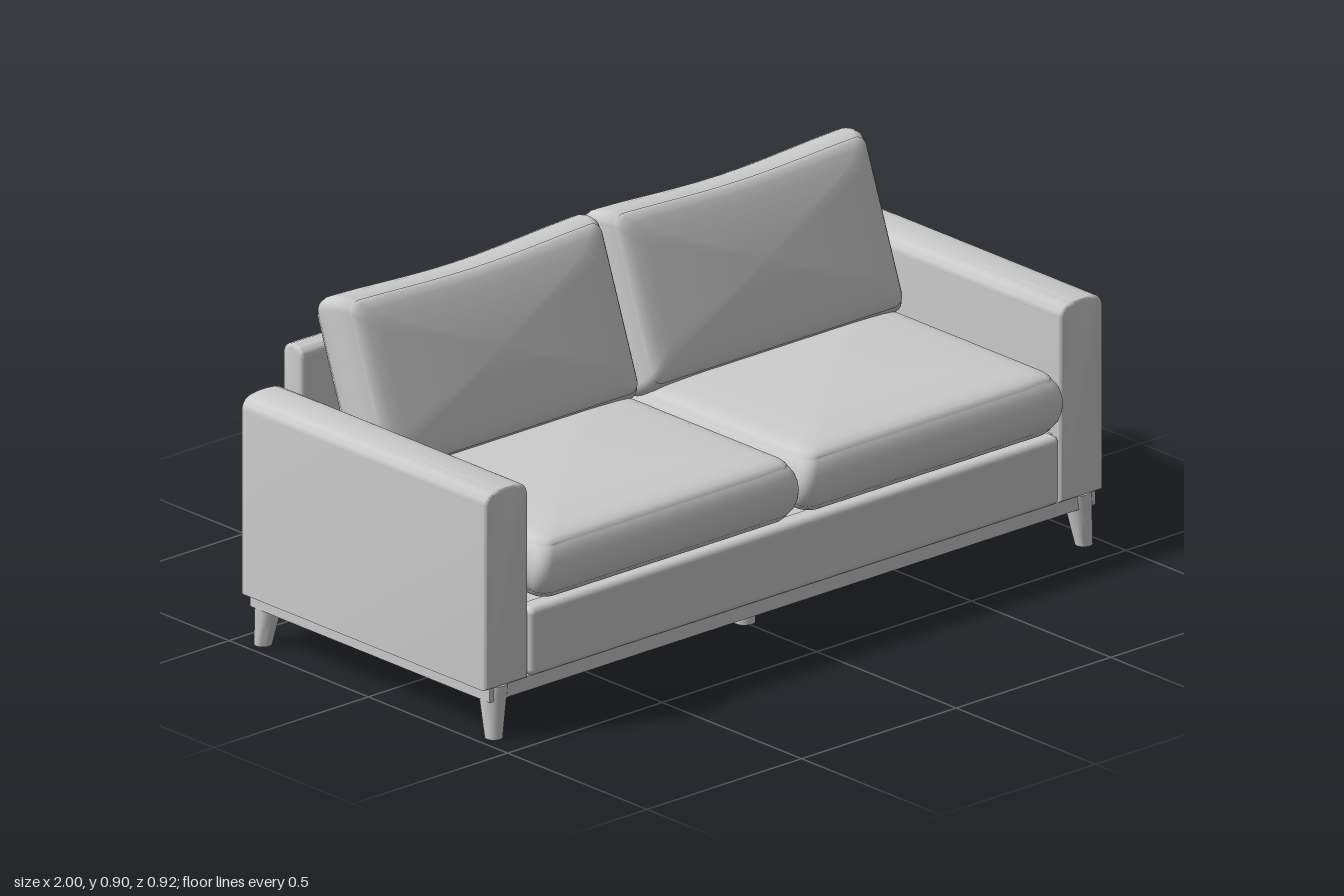
import * as THREE from 'three';
import { toCreasedNormals } from 'three/addons/utils/BufferGeometryUtils.js';
import { RoundedBoxGeometry } from 'three/addons/geometries/RoundedBoxGeometry.js';

const fabric = new THREE.MeshStandardMaterial({ color: 0xcccccc });
fabric.name = 'light grey';

function add(parent, name, geometry, x = 0, y = 0, z = 0) {
  const mesh = new THREE.Mesh(geometry, fabric);
  mesh.name = name;
  mesh.position.set(x, y, z);
  parent.add(mesh);
  return mesh;
}

// Upright slab with a rounded top, extruded along z, with softened ends
function roundTopSlab(width, height, length, r) {
  const b = 0.01, w = width / 2 - b, h = height - b;
  const s = new THREE.Shape();
  s.moveTo(-w, b);
  s.lineTo(w, b);
  s.lineTo(w, h - r);
  s.bezierCurveTo(w, h - r * 0.4, w - r * 0.4, h - 0.004, w - r, h - 0.002);
  s.quadraticCurveTo(0, h + 0.002, r - w, h - 0.002);
  s.bezierCurveTo(r * 0.4 - w, h - 0.004, -w, h - r * 0.4, -w, h - r);
  s.closePath();
  const g = new THREE.ExtrudeGeometry(s, {
    depth: length - 2 * b, bevelThickness: b, bevelSize: b, bevelSegments: 4, curveSegments: 10,
  });
  g.translate(0, 0, b - length / 2);
  return toCreasedNormals(g, 0.6);
}

// Upper half of the cushion section: [inset from edge, share of half thickness]
const EDGE = [
  [0, 0], [0.002, 0.22], [0.008, 0.45], [0.018, 0.62], [0.022, 0.65],
  [0.021, 0.68], [0.03, 0.78], [0.05, 0.85], [0.08, 0.89],
];

// Boxed cushion lofted from rounded rectangles; sag dips the -z edge
function cushionGeometry(width, length, thickness, corner, sag = 0) {
  const rings = [];
  const half = EDGE.map(([inset, k]) => [inset, k, 1]);
  for (const s of [0.85, 0.65, 0.4, 0.15, 0]) {
    half.push([0.08, 0.89 + 0.11 * (1 - s * s), s]);
  }
  for (let i = half.length - 1; i > 0; i--) rings.push([half[i][0], -half[i][1], half[i][2]]);
  rings.push(...half);

  const arc = 6, side = 10, pos = [], idx = [];
  // One outline, counted counter-clockwise in (x, z)
  const outline = (a, b, r) => {
    const pts = [];
    const corners = [[1, 1], [-1, 1], [-1, -1], [1, -1]];
    corners.forEach(([sx, sz], q) => {
      for (let i = 0; i <= arc; i++) {
        const t = (q + i / arc) * Math.PI / 2;
        pts.push([sx * (a - r) + r * Math.cos(t), sz * (b - r) + r * Math.sin(t)]);
      }
      const p = pts[pts.length - 1];
      const [nx, nz] = corners[(q + 1) % 4];
      const t = (q + 1) * Math.PI / 2;
      const e = [nx * (a - r) + r * Math.cos(t), nz * (b - r) + r * Math.sin(t)];
      for (let i = 1; i < side; i++) {
        pts.push([p[0] + (e[0] - p[0]) * i / side, p[1] + (e[1] - p[1]) * i / side]);
      }
    });
    return pts;
  };
  let n = 0;
  for (const [inset, k, s] of rings) {
    const pts = outline(width / 2 - inset, length / 2 - inset, corner);
    n = pts.length;
    for (const [px, pz] of pts) {
      const x = px * s, z = pz * s;
      const u = 2 * x / width, v = Math.max(0, -2 * z / length);
      pos.push(x, k * thickness / 2, z + sag * v * v * (1 - u * u) ** 2);
    }
  }
  for (let j = 0; j < rings.length - 1; j++) {
    for (let i = 0; i < n; i++) {
      const a = j * n + i, b = j * n + (i + 1) % n, c = a + n, d = b + n;
      idx.push(a, c, b, b, c, d);
    }
  }
  const g = new THREE.BufferGeometry();
  g.setAttribute('position', new THREE.Float32BufferAttribute(pos, 3));
  g.setIndex(idx);
  g.computeVertexNormals();
  return g;
}

// Tapered corner foot whose outer sides stay nearly upright
function footGeometry(sx, sz) {
  const g = new THREE.CylinderGeometry(0.037, 0.022, 0.135, 20, 4);
  const p = g.attributes.position;
  for (let i = 0; i < p.count; i++) {
    const down = 0.5 - p.getY(i) / 0.135;
    p.setX(i, p.getX(i) + sx * 0.01 * down);
    p.setZ(i, p.getZ(i) + sz * 0.015 * down);
  }
  g.computeVertexNormals();
  return toCreasedNormals(g, 0.7);
}

// Rectangle path for the base rail
function rectangle(path, a, b) {
  path.moveTo(-a, -b);
  path.lineTo(a, -b);
  path.lineTo(a, b);
  path.lineTo(-a, b);
  path.closePath();
  return path;
}

export function createModel() {
  const sofa = new THREE.Group();
  sofa.name = 'sofa';

  // Base rail with a closed underside
  const frame = rectangle(new THREE.Shape(), 0.98, 0.43);
  frame.holes.push(rectangle(new THREE.Path(), 0.955, 0.405));
  const rail = new THREE.ExtrudeGeometry(frame, { depth: 0.037, bevelEnabled: false });
  rail.rotateX(-Math.PI / 2);
  add(sofa, 'baseRail', rail, 0, 0.099, -0.017);
  add(sofa, 'underside', new THREE.BoxGeometry(1.92, 0.03, 0.82), 0, 0.12, -0.017);

  // Seat platform with its upholstered front panel
  add(sofa, 'seatPlatform', new THREE.BoxGeometry(1.74, 0.17, 0.78), 0, 0.22, 0);
  add(sofa, 'frontPanel', new RoundedBoxGeometry(1.715, 0.177, 0.06, 4, 0.018), 0, 0.2225, 0.395);

  // Back rest
  const back = roundTopSlab(0.07, 0.62, 1.735, 0.022);
  back.rotateY(Math.PI / 2);
  add(sofa, 'backRest', back, 0, 0.135, -0.421);

  // Arms and cushions, mirrored left and right
  const armShape = roundTopSlab(0.14, 0.512, 0.88, 0.03);
  const seatShape = cushionGeometry(0.85, 0.735, 0.19, 0.035);
  const backShape = cushionGeometry(0.852, 0.466, 0.19, 0.03, 0.016);
  for (const [side, s] of [['left', 1], ['right', -1]]) {
    add(sofa, side + 'Arm', armShape, s * 0.93, 0.134, -0.02);
    add(sofa, side + 'SeatCushion', seatShape, s * 0.427, 0.405, 0.092);
    const cushion = add(sofa, side + 'BackCushion', backShape, s * 0.428, 0.678, -0.243);
    cushion.rotation.x = Math.PI / 2 - 0.35;

    // Corner feet
    for (const [end, f, z] of [['Front', 1, 0.384], ['Back', -1, -0.414]]) {
      add(sofa, side + end + 'Foot', footGeometry(s, f), s * 0.944, 0.0675, z);
    }
  }

  // Middle feet
  for (const [name, z] of [['middleFrontFoot', 0.24], ['middleBackFoot', -0.31]]) {
    add(sofa, name, new THREE.CylinderGeometry(0.03, 0.027, 0.106, 20), 0, 0.056, z);
  }
  return sofa;
}
